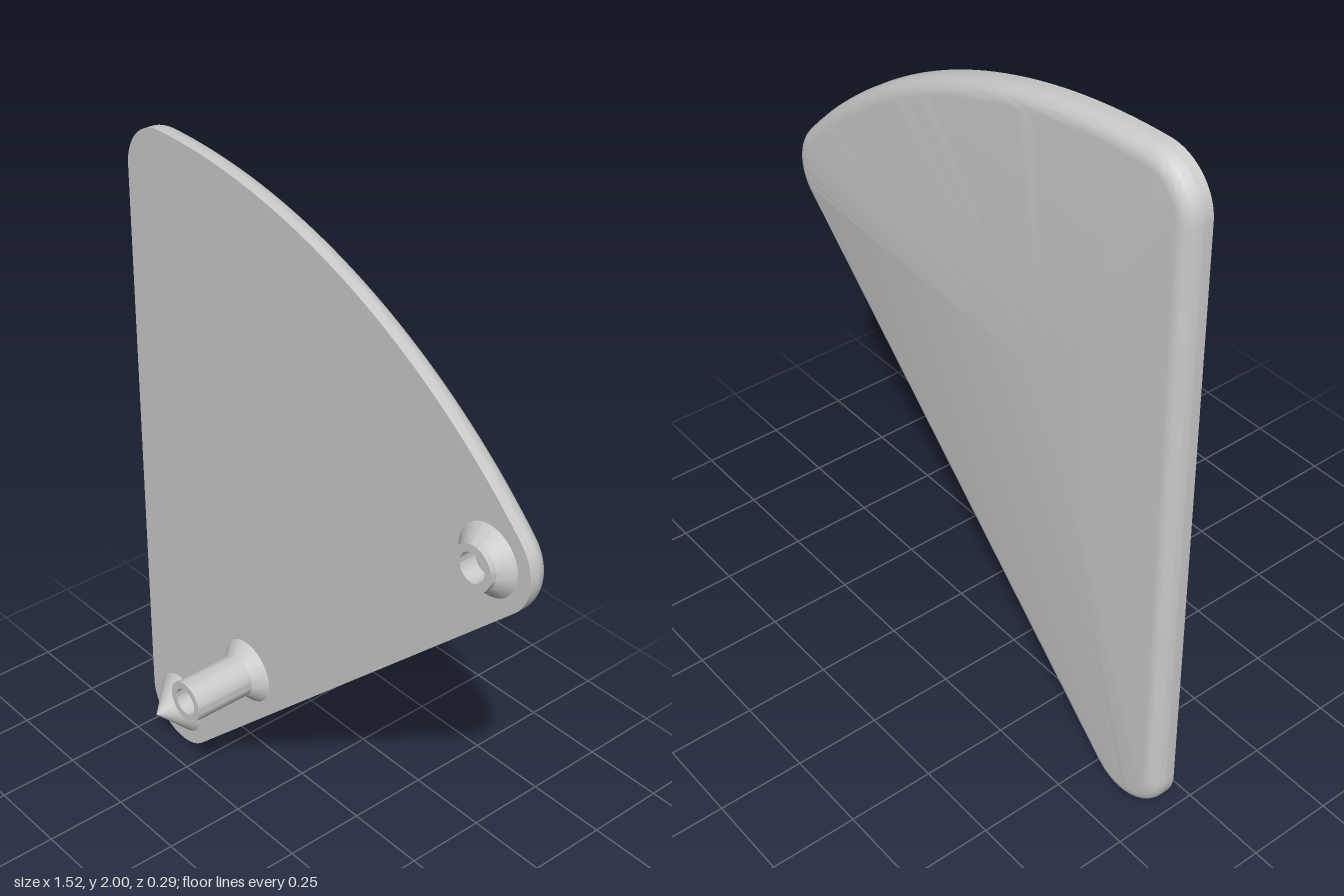
import * as THREE from 'three';
import { toCreasedNormals } from 'three/addons/utils/BufferGeometryUtils.js';

const FRONT = -0.078, BACK = -0.147;      // plate faces in z
const PIVOT = [-0.62, 0.14];              // centre of the sector
const CORNER = 0.14, RADIUS = 1.86;       // corner and outer arc radii
const SPAN = THREE.MathUtils.degToRad(44);  // tilt of the slanted edge
const FILLET = 0.045;                     // rounding of the back edge
const TIP = [
  PIVOT[0] + (RADIUS - CORNER) * Math.cos(SPAN),
  PIVOT[1] + (RADIUS - CORNER) * Math.sin(SPAN),
];

// Rounded sector outline, counter-clockwise, moved inwards by inset
function outline(inset) {
  const pts = [];
  const arc = ([cx, cy], r, a, b, n, first = 0) => {
    for (let i = first; i <= n; i++) {
      const t = a + (b - a) * i / n;
      pts.push([cx + (r - inset) * Math.cos(t), cy + (r - inset) * Math.sin(t)]);
    }
  };
  arc(PIVOT, CORNER, Math.PI, Math.PI * 1.5 + SPAN, 20);
  arc(TIP, CORNER, SPAN - Math.PI / 2, SPAN, 16);
  arc(PIVOT, RADIUS, SPAN, Math.PI / 2, 40, 1);
  arc([PIVOT[0], PIVOT[1] + RADIUS - CORNER], CORNER, Math.PI / 2, Math.PI, 16, 1);
  return pts;
}

// Plate lofted from outlines: sharp front edge, rounded back edge
function plateGeometry() {
  const rings = [[0, FRONT]];
  for (let i = 0; i <= 8; i++) {
    const a = (i / 8) * Math.PI / 2;
    rings.push([FILLET * (1 - Math.cos(a)), BACK + FILLET * (1 - Math.sin(a))]);
  }
  const pos = [], index = [];
  for (const [inset, z] of rings) for (const [x, y] of outline(inset)) pos.push(x, y, z);
  const n = outline(0).length, last = (rings.length - 1) * n;
  const frontMid = rings.length * n, backMid = frontMid + 1;
  pos.push(-0.3, 1.2, FRONT, -0.3, 1.2, BACK);
  for (let j = 0; j < n; j++) {
    const k = (j + 1) % n;
    for (let r = 0; r < last; r += n) {
      index.push(r + j, r + n + j, r + n + k, r + j, r + n + k, r + k);
    }
    index.push(frontMid, j, k, backMid, last + k, last + j);
  }
  const geo = new THREE.BufferGeometry();
  geo.setAttribute('position', new THREE.Float32BufferAttribute(pos, 3));
  geo.setIndex(index);
  return toCreasedNormals(geo, 0.6);
}

// Turned part standing on the plate's front face; profile is [radius, height]
function turned(profile) {
  const geo = new THREE.LatheGeometry(profile.map(([r, h]) => new THREE.Vector2(r, h)), 48);
  geo.rotateX(Math.PI / 2);
  return toCreasedNormals(geo, 0.6);
}

// Hollow post with a conical foot
const post = (height) => turned([
  [0.098, 0], [0.063, 0.035], [0.063, height], [0.041, height], [0.041, 0.001], [0, 0.001],
]);

export function createModel() {
  const group = new THREE.Group();
  const material = new THREE.MeshStandardMaterial({ color: 0xcccccc });
  const add = (name, geo, x = 0, y = 0, z = 0) => {
    const mesh = new THREE.Mesh(geo, material);
    mesh.name = name;
    mesh.position.set(x, y, z);
    group.add(mesh);
  };

  add('sectorPlate', plateGeometry());
  add('pivotCone', turned([[0.097, 0], [0, 0.097]]), PIVOT[0], PIVOT[1], FRONT);
  add('longPost', post(0.225), -0.293, 0.46, FRONT);
  add('shortPost', post(0.052), TIP[0], TIP[1], FRONT);
  return group;
}
